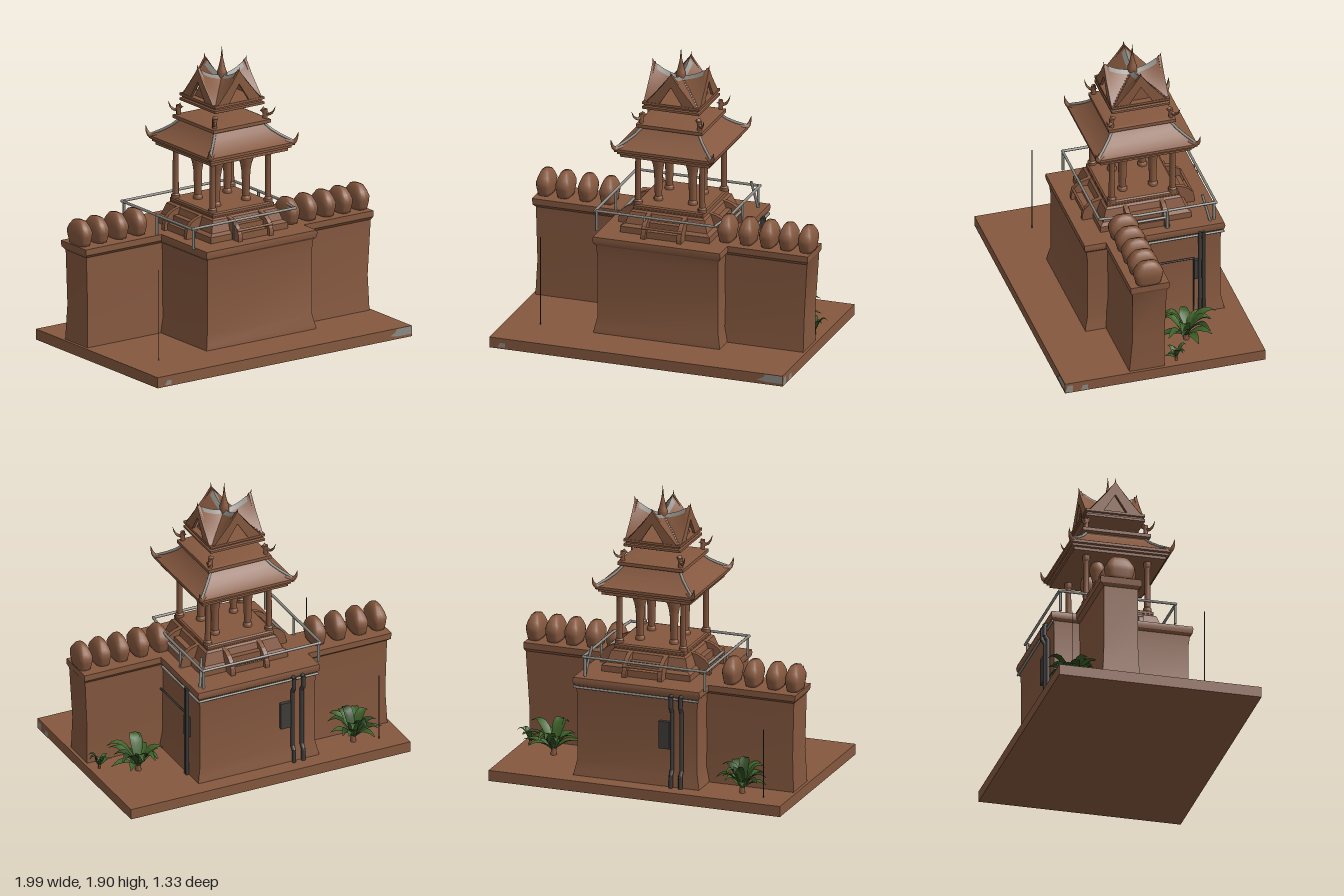
import * as THREE from 'three';
import { toCreasedNormals } from 'three/addons/utils/BufferGeometryUtils.js';

const mat = (name, color, side = THREE.FrontSide) => {
  const m = new THREE.MeshStandardMaterial({ color, side });
  m.name = name;
  return m;
};

export function createModel() {
  const clay = mat('clay brown', 0x85583f);
  const clayThin = mat('clay brown sheet', 0x85583f, THREE.DoubleSide);
  const grey = mat('weathered grey', 0x8b8a84, THREE.DoubleSide);
  const iron = mat('dark iron', 0x3f3d3a);
  const leafA = mat('leaf green', 0x3d6128, THREE.DoubleSide);
  const leafB = mat('dark leaf green', 0x2c4720, THREE.DoubleSide);

  const model = new THREE.Group();
  const group = (name, parent = model) => {
    const g = new THREE.Group();
    g.name = name;
    parent.add(g);
    return g;
  };
  const add = (parent, name, geo, m, x = 0, y = 0, z = 0) => {
    const mesh = new THREE.Mesh(geo, m);
    mesh.name = name;
    mesh.position.set(x, y, z);
    parent.add(mesh);
    return mesh;
  };
  const box = (p, name, m, x0, x1, y0, y1, z0, z1) =>
    add(p, name, new THREE.BoxGeometry(x1 - x0, y1 - y0, z1 - z0), m, (x0 + x1) / 2, (y0 + y1) / 2, (z0 + z1) / 2);
  const v = (a) => new THREE.Vector3(...a);

  // Stacked rectangular rings [y, x0, x1, z0, z1]
  const loft = (rings) => {
    const pos = [];
    const c = rings.map(([y, x0, x1, z0, z1]) => [[x0, y, z1], [x1, y, z1], [x1, y, z0], [x0, y, z0]]);
    const quad = (a, b, d, e) => pos.push(...a, ...b, ...d, ...a, ...d, ...e);
    for (let i = 0; i + 1 < c.length; i++)
      for (let k = 0; k < 4; k++) {
        const n = (k + 1) % 4;
        quad(c[i][k], c[i][n], c[i + 1][n], c[i + 1][k]);
      }
    quad(...c[c.length - 1]);
    quad(...[...c[0]].reverse());
    const g = new THREE.BufferGeometry();
    g.setAttribute('position', new THREE.Float32BufferAttribute(pos, 3));
    return toCreasedNormals(g, 0.45);
  };
  const square = (list) => loft(list.map(([y, h]) => [y, -h, h, -h, h]));

  // Pipe with straight runs
  const pipe = (p, name, m, r, pts) => {
    const path = new THREE.CurvePath();
    for (let i = 0; i + 1 < pts.length; i++) {
      const a = v(pts[i]), b = v(pts[i + 1]), d = b.clone().sub(a);
      const rod = add(p, name, new THREE.CylinderGeometry(r, r, d.length() + r, 8), m);
      rod.position.copy(a).add(b).multiplyScalar(0.5);
      rod.quaternion.setFromUnitVectors(new THREE.Vector3(0, 1, 0), d.normalize());
    }
    return path;
  };
  // Tapered curved horn
  const horn = (p, name, m, r, pts) => {
    const curve = new THREE.CatmullRomCurve3(pts.map(v));
    const n = 10, sides = 7, geo = new THREE.TubeGeometry(curve, n, r, sides), a = geo.attributes.position;
    const q = new THREE.Vector3();
    for (let i = 0; i < a.count; i++) {
      const t = Math.floor(i / (sides + 1)) / n;
      q.fromBufferAttribute(a, i).lerp(curve.getPointAt(t), t * 0.97);
      a.setXYZ(i, q.x, q.y, q.z);
    }
    geo.computeVertexNormals();
    add(p, name, geo, m);
  };

  // Ground slab with worn patches
  const ground = group('groundSlab');
  box(ground, 'slab', clay, -1, 0.97, 0, 0.07, -0.66, 0.66);
  const patch = (w, h, x, y, z, ry) => {
    const s = new THREE.Shape([[-.5, -.3], [-.2, -.5], [.5, -.5], [.5, .5], [-.2, .5], [-.25, .1]].map(([a, b]) => new THREE.Vector2(a * w, b * h)));
    add(ground, 'wornPatch', new THREE.ShapeGeometry(s), grey, x, y, z).rotation.y = ry;
  };
  patch(0.17, 0.05, 0.885, 0.043, 0.663, 0);
  patch(0.05, 0.03, -0.92, 0.025, 0.663, 0);
  patch(0.05, 0.05, 0.973, 0.03, 0.635, Math.PI / 2);
  patch(0.05, 0.035, 0.973, 0.025, 0.535, Math.PI / 2);

  // Gate block and side walls
  const walls = group('walls');
  add(walls, 'gateBlock', loft([
    [0.07, -0.41, 0.44, -0.55, 0.365], [0.1, -0.405, 0.435, -0.545, 0.362], [0.17, -0.39, 0.42, -0.53, 0.345],
    [0.58, -0.39, 0.42, -0.53, 0.345], [0.66, -0.395, 0.425, -0.535, 0.355], [0.675, -0.41, 0.44, -0.55, 0.368],
    [0.7, -0.415, 0.445, -0.555, 0.372], [0.72, -0.41, 0.44, -0.55, 0.37]]), clay);
  add(walls, 'leftSideWall', loft([
    [0.07, -0.98, -0.38, -0.37, -0.13], [0.3, -0.97, -0.38, -0.36, -0.14], [0.66, -0.98, -0.38, -0.365, -0.14],
    [0.68, -0.995, -0.38, -0.39, -0.12], [0.72, -1, -0.38, -0.39, -0.12]]), clay);
  add(walls, 'rightSideWall', loft([
    [0.07, 0.95, 0.95, 0, 0.23], [0.3, 0.95, 0.95, 0.0, 0.21], [0.66, 0.97, 0.97, -0.01, 0.215],
    [0.68, 0.98, 0.98, -0.025, 0.23], [0.72, 0.98, 0.98, -0.025, 0.23]].map((r) => [r[0], 0.4, ...r.slice(2)])), clay);

  // Rounded merlons, squared off by a rule
  const profile = [[0, 0], [0.042, 0], [0.045, 0.02], [0.051, 0.06], [0.052, 0.09], [0.043, 0.12], [0.028, 0.153], [0, 0.163]];
  const merlon = new THREE.LatheGeometry(profile.map(([r, y]) => new THREE.Vector2(r, y)), 20);
  const mp = merlon.attributes.position;
  for (let i = 0; i < mp.count; i++) {
    const x = mp.getX(i), z = mp.getZ(i), r = Math.hypot(x, z) || 1;
    const sq = (c) => Math.sign(c) * Math.pow(Math.abs(c) / r, 0.6) * r;
    mp.setXYZ(i, sq(x), mp.getY(i), sq(z) * 1.85);
  }
  merlon.computeVertexNormals();
  for (const x of [-0.95, -0.82, -0.67, -0.525]) add(walls, 'merlon', merlon, clay, x, 0.72, -0.255);
  for (const x of [0.4, 0.54, 0.68, 0.81, 0.94]) add(walls, 'merlon', merlon, clay, x, 0.72, 0.105);

  // Terrace railing
  const rail = group('railing');
  pipe(rail, 'topRail', grey, 0.009, [[0.36, 0.85, 0.25], [-0.44, 0.85, 0.25], [-0.44, 0.85, -0.51], [0.39, 0.85, -0.51], [0.39, 0.85, 0.0], [0.36, 0.85, 0.25]]);
  for (const [x, z] of [[-0.43, 0.25], [-0.11, 0.25], [-0.43, -0.5], [0.38, -0.5], [0.39, -0.19], [-0.44, -0.13]])
    pipe(rail, 'railPost', grey, 0.009, [[x, 0.72, z], [x, 0.85, z]]);
  pipe(rail, 'bentPost', grey, 0.009, [[0.39, 0.72, -0.47], [0.36, 0.9, -0.43]]);

  // Pipes, boxes and thin poles
  const pipes = group('pipework');
  pipe(pipes, 'sideCable', iron, 0.006, [[0.435, 0.485, 0], [0.435, 0.485, -0.35], [0.435, 0.07, -0.35]]);
  for (const z of [-0.385, -0.41]) pipe(pipes, 'sidePipe', iron, 0.011, [[0.45, 0.07, z], [0.45, 0.68, z]]);
  box(pipes, 'sideBox', iron, 0.41, 0.445, 0.33, 0.47, -0.4, -0.35);
  for (const x of [-0.29, -0.225])
    pipe(pipes, 'backPipe', iron, 0.014, [[x, 0.68, -0.54], [x, 0.67, -0.565], [x, 0.6, -0.565], [x, 0.57, -0.545], [x, 0.18, -0.545], [x, 0.15, -0.565], [x, 0.07, -0.565]]);
  box(pipes, 'backBox', iron, -0.21, -0.14, 0.32, 0.5, -0.555, -0.52);
  pipe(pipes, 'corniceConduit', grey, 0.008, [[0.435, 0.655, -0.03], [0.435, 0.655, -0.545], [-0.4, 0.655, -0.545]]);
  pipe(pipes, 'pole', iron, 0.003, [[-0.77, 0.07, 0.35], [-0.77, 0.66, 0.35]]);
  pipe(pipes, 'pole', iron, 0.003, [[-0.84, 0.07, -0.53], [-0.84, 0.52, -0.53]]);

  // Pavilion plinth with four stair flanks
  const pav = group('pavilion');
  pav.position.set(0.02, 0, -0.07);
  add(pav, 'plinth', square([[0.72, 0.3], [0.76, 0.3], [0.775, 0.275], [0.85, 0.25], [0.86, 0.235], [0.868, 0.235]]), clay);
  add(pav, 'floor', square([[0.866, 0.215], [0.87, 0.235], [0.885, 0.235], [0.892, 0.225]]), clay);
  const cheekShape = new THREE.Shape();
  cheekShape.moveTo(0.2, 0);
  cheekShape.lineTo(0.37, 0);
  cheekShape.bezierCurveTo(0.38, 0.07, 0.33, 0.14, 0.2, 0.14);
  const cheekGeo = new THREE.ExtrudeGeometry(cheekShape, { depth: 0.03, bevelEnabled: false, curveSegments: 8 });
  for (let i = 0; i < 4; i++) {
    const side = group('stair', pav);
    side.rotation.y = (i * Math.PI) / 2;
    for (const z of [-0.135, 0.105]) add(side, 'stairCheek', cheekGeo, clay, 0, 0.72, z);
    box(side, 'lowerStep', clay, 0.25, 0.345, 0.72, 0.765, -0.11, 0.11);
    box(side, 'upperStep', clay, 0.2, 0.3, 0.72, 0.81, -0.11, 0.11);
    pipe(side, 'stairBar', i % 2 ? clay : grey, 0.009, [[0.355, 0.79, -0.13], [0.355, 0.79, 0.13]]);
  }

  // Corner posts and flared inner pillars
  const lathe = (pts) => toCreasedNormals(new THREE.LatheGeometry(pts.map(([r, y]) => new THREE.Vector2(r, y)), 14), 0.6);
  const post = lathe([[0.028, 0.885], [0.028, 0.91], [0.02, 0.92], [0.018, 1.19], [0.024, 1.2], [0.024, 1.24]]);
  const pillar = lathe([[0.03, 0.885], [0.03, 0.91], [0.023, 0.92], [0.028, 1.08], [0.036, 1.13], [0.05, 1.17], [0.05, 1.2], [0.035, 1.235]]);
  for (const sx of [-1, 1]) for (const sz of [-1, 1]) {
    add(pav, 'cornerPost', post, clay, sx * 0.215, 0, sz * 0.2);
    add(pav, 'innerPillar', pillar, clay, sx * 0.115, 0, sz * 0.1);
  }

  // Lower roof and second tier
  add(pav, 'lowerRoof', square([[1.23, 0.3], [1.248, 0.3], [1.252, 0.315], [1.266, 0.315], [1.27, 0.33], [1.288, 0.33],
    [1.3, 0.305], [1.33, 0.262], [1.365, 0.222], [1.4, 0.195], [1.41, 0.195]]), clay);
  add(pav, 'secondTier', square([[1.405, 0.21], [1.41, 0.222], [1.432, 0.222], [1.438, 0.205], [1.445, 0.14]]), clay);
  for (let i = 0; i < 4; i++) {
    const c = group('roofCorner', pav);
    c.rotation.y = (i * Math.PI) / 2;
    pipe(c, 'hipRidge', grey, 0.009, [[0.195, 1.4, 0.195], [0.225, 1.365, 0.225], [0.265, 1.333, 0.265], [0.32, 1.297, 0.32]]);
    horn(c, 'eaveHorn', clay, 0.026, [[0.29, 1.29, 0.29], [0.325, 1.29, 0.325], [0.338, 1.315, 0.338], [0.345, 1.355, 0.345]]);
    pipe(c, 'tierPost', clay, 0.016, [[0.195, 1.43, 0.195], [0.195, 1.49, 0.195]]);
    horn(c, 'tierHorn', clay, 0.018, [[0.18, 1.5, 0.18], [0.21, 1.465, 0.21], [0.23, 1.48, 0.23], [0.243, 1.52, 0.243]]);
  }

  // Cross-gabled crown: height depends on distance from the nearer ridge
  const H = 0.185;
  const roofY = (x, z) => {
    const m = Math.min(Math.abs(x), Math.abs(z)) / H, M = Math.max(Math.abs(x), Math.abs(z)) / H;
    return 1.565 + 0.145 * Math.pow(Math.max(0, 1 - m), 1.15) + 0.075 * M * M * (1 - m);
  };
  const roofSheet = (w, d, nx, nz, cx, cz, lift) => {
    const g = new THREE.PlaneGeometry(w, d, nx, nz).rotateX(-Math.PI / 2).translate(cx, 0, cz);
    const p = g.attributes.position;
    for (let i = 0; i < p.count; i++) p.setY(i, roofY(p.getX(i), p.getZ(i)) + lift);
    return toCreasedNormals(g, 0.5);
  };
  add(pav, 'crownSlab', square([[1.525, 0.18], [1.53, 0.192], [1.545, 0.192], [1.55, 0.18], [1.558, 0.18], [1.562, 0.192], [1.578, 0.192]]), clay);
  add(pav, 'crownRoof', roofSheet(2 * H, 2 * H, 28, 28, 0, 0, 0), clayThin);
  add(pav, 'wornRidge', roofSheet(0.045, 0.31, 4, 20, 0, 0, 0.004), grey);
  add(pav, 'wornRidge', roofSheet(0.31, 0.045, 20, 4, 0, 0, 0.004), grey);
  const gable = new THREE.Shape([[-0.175, 1.565], [0.175, 1.565], [0.06, 1.7], [0, 1.785], [-0.06, 1.7]].map((a) => new THREE.Vector2(...a)));
  gable.holes.push(new THREE.Path([[-0.078, 1.575], [0, 1.695], [0.078, 1.575]].map((a) => new THREE.Vector2(...a))));
  const gableGeo = new THREE.ExtrudeGeometry(gable, { depth: 0.018, bevelEnabled: false });
  const panel = new THREE.ShapeGeometry(new THREE.Shape([[-0.09, 1.57], [0.09, 1.57], [0, 1.71]].map((a) => new THREE.Vector2(...a))));
  for (let i = 0; i < 4; i++) {
    const s = group('gable', pav);
    s.rotation.y = (i * Math.PI) / 2;
    add(s, 'gableFrame', gableGeo, clay, 0, 0, H - 0.014);
    if (i % 2) add(s, 'gablePanel', panel, clayThin, 0, 0, 0.15);
    horn(s, 'gableHorn', clay, 0.014, [[0, 1.72, H - 0.02], [0, 1.77, H - 0.002], [0, 1.805, H + 0.006]]);
  }
  add(pav, 'spire', lathe([[0.03, 1.69], [0.032, 1.73], [0.024, 1.75], [0.018, 1.775], [0.008, 1.82], [0, 1.9]]), clay);

  // Leafy plants
  let seed = 7;
  const rnd = () => (seed = (seed * 16807) % 2147483647) / 2147483647;
  const leaf = (len, wid, rise) => {
    const g = new THREE.PlaneGeometry(1, 1, 2, 6), p = g.attributes.position;
    for (let i = 0; i < p.count; i++) {
      const s = p.getX(i) * 2, t = p.getY(i) + 0.5;
      const w = wid * (0.1 + Math.sin(Math.PI * Math.pow(t, 0.8))) * (1 - t * t * 0.3);
      p.setXYZ(i, s * w * 0.5, rise * (2.2 * t - 1.5 * t * t) + Math.abs(s) * w * 0.2, len * t);
    }
    g.computeVertexNormals();
    return g;
  };
  const plant = (x, z, r, n, h) => {
    const g = group('plant');
    g.position.set(x, 0.07, z);
    add(g, 'stem', new THREE.CylinderGeometry(r * 0.06, r * 0.1, h * 0.5, 6), clay, 0, h * 0.25, 0);
    for (let i = 0; i < n; i++) {
      const l = add(g, 'leaf', leaf(r * (0.65 + 0.4 * rnd()), r * 0.34, h * (0.35 + 0.9 * rnd())), i % 3 ? leafA : leafB, 0, h * 0.12, 0);
      l.rotation.y = i * 2.4 + rnd() * 0.5;
    }
  };
  plant(-0.68, -0.49, 0.19, 16, 0.19);
  plant(0.7, -0.22, 0.2, 18, 0.19);
  plant(0.91, -0.09, 0.09, 8, 0.1);

  return model;
}
